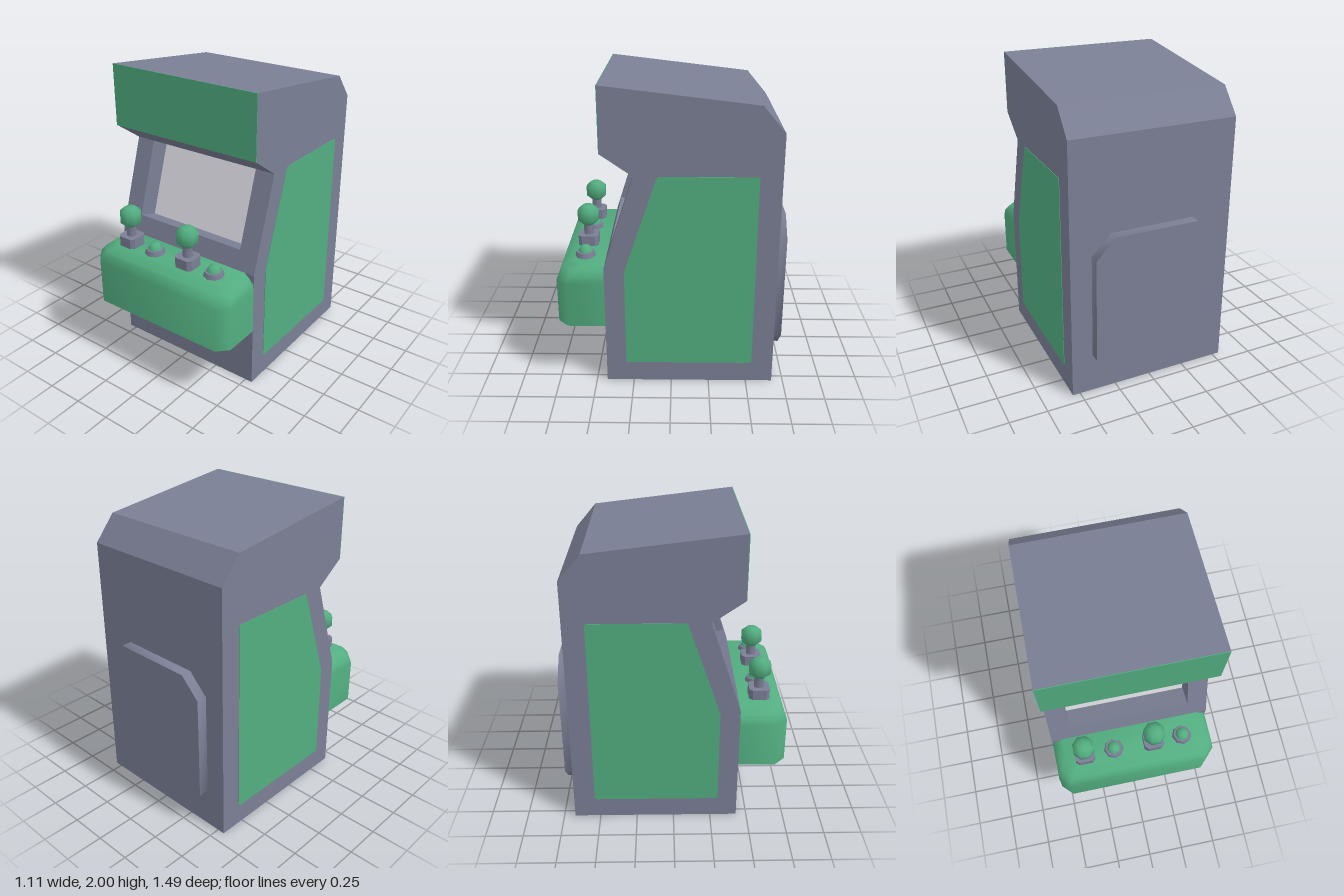
import * as THREE from 'three';
import { toCreasedNormals } from 'three/addons/utils/BufferGeometryUtils.js';

const mat = (name, color) => Object.assign(new THREE.MeshStandardMaterial({ color }), { name });

export function createModel() {
  const model = new THREE.Group();
  model.name = 'arcadeCabinet';
  const grey = mat('slateGrey', 0x7b7f95);
  const green = mat('green', 0x52ae80);
  const pale = mat('screenGrey', 0xdadae2);

  const add = (name, geometry, material, x = 0, y = 0, z = 0, parent = model) => {
    const mesh = new THREE.Mesh(geometry, material);
    mesh.name = name;
    mesh.position.set(x, y, z);
    parent.add(mesh);
    return mesh;
  };
  const polygon = pts => new THREE.Shape(pts.map(p => new THREE.Vector2(...p)));
  // Polygon with small rounded corners
  const rounded = (pts, r) => {
    const shape = new THREE.Shape();
    const v = pts.map(p => new THREE.Vector2(...p));
    v.forEach((p, i) => {
      const toward = q => q.clone().sub(p).setLength(r).add(p);
      const a = toward(v[(i + v.length - 1) % v.length]);
      const b = toward(v[(i + 1) % v.length]);
      if (i) shape.lineTo(a.x, a.y); else shape.moveTo(a.x, a.y);
      shape.quadraticCurveTo(p.x, p.y, b.x, b.y);
    });
    shape.closePath();
    return shape;
  };
  const extrude = (shape, depth) =>
    new THREE.ExtrudeGeometry(shape, { depth, bevelEnabled: false, curveSegments: 3 });
  // Extrude a (z, y) profile across x, centred on x = 0
  const across = (shape, width) =>
    extrude(shape, width).rotateY(-Math.PI / 2).translate(width / 2, 0, 0);

  // Cabinet: two side walls and a core with the screen recess
  const HALF = 0.55, OPEN = 0.415;
  const slantLow = [0.43, 0.83], slantTop = [0.23, 1.45], sill = [0.39, 0.955];
  const inward = ([z, y], d) => [z - 0.952 * d, y - 0.307 * d];
  const backLow = inward(sill, 0.145), backTop = inward(slantTop, 0.145);
  const profile = slant => polygon([
    [-0.675, 0], [0.43, 0], slantLow, ...slant,
    [0.43, 1.59], [0.43, 2], [-0.535, 1.885], [-0.675, 1.72]
  ]);
  add('cabinetCore', across(profile([sill, backLow, backTop, slantTop]), 2 * OPEN), grey);
  for (const [side, s] of [['left', 1], ['right', -1]]) {
    add(side + 'CabinetWall', across(profile([slantTop]), HALF - OPEN), grey, s * (HALF + OPEN) / 2);
    add(side + 'SidePanel', across(rounded([
      [0.3, 0.14], [0.3, 0.81], [0.085, 1.45], [-0.535, 1.45], [-0.535, 0.14]
    ].reverse(), 0.018), 0.004), green, s * (HALF + 0.001));
  }

  // Screen plate on the back of the recess, and the marquee
  add('screen', across(polygon([
    backLow, inward(sill, 0.14), inward(slantTop, 0.14), backTop
  ]), 2 * OPEN - 0.002), pale);
  add('marquee', new THREE.BoxGeometry(2 * HALF, 0.41, 0.004), green, 0, 1.795, 0.431);

  // Control panel: outline rings stacked upward with softened edges
  const layers = [ // y, side inset, front inset
    [0.415, 0, 0], [0.72, 0, 0], [0.765, 0.005, 0.017], [0.8, 0.035, 0.036], [0.83, 0.07, 0.11]
  ];
  const pos = [], idx = [], N = 6;
  for (const [y, side, front] of layers) {
    const w = HALF - side, f = 0.745 - front, c = 0.07;
    for (const [x, z] of [[w, 0.43], [w, f - c], [w - c, f], [c - w, f], [-w, f - c], [-w, 0.43]])
      pos.push(x, y, z);
  }
  for (let i = 0; i < layers.length - 1; i++) {
    for (let j = 0; j < N; j++) {
      const a = i * N + j, b = i * N + (j + 1) % N;
      idx.push(b, a, a + N, b, a + N, b + N);
    }
  }
  const top = (layers.length - 1) * N;
  for (let j = 1; j < N - 1; j++) idx.push(0, j, j + 1, top, top + j + 1, top + j);
  const panel = new THREE.BufferGeometry();
  panel.setAttribute('position', new THREE.Float32BufferAttribute(pos, 3));
  panel.setIndex(idx);
  add('controlPanel', toCreasedNormals(panel, 1.05), green);

  // Chamfered rectangle
  const chamfered = (w, h, c) => polygon([
    [-w + c, -h], [w - c, -h], [w, -h + c], [w, h - c],
    [w - c, h], [-w + c, h], [-w, h - c], [-w, -h + c]
  ]);

  // Joysticks
  const ballProfile = [[0, -0.068], [0.036, -0.068], [0.074, -0.034], [0.074, 0.034], [0.036, 0.068], [0, 0.068]]
    .map(p => new THREE.Vector2(...p));
  for (const x of [-0.345, 0.135]) {
    const stick = new THREE.Group();
    stick.name = 'joystick';
    stick.position.set(x, 0.83, 0.567);
    model.add(stick);
    add('joystickBase', extrude(chamfered(0.067, 0.067, 0.022), 0.07).rotateX(-Math.PI / 2), grey, 0, 0, 0, stick);
    add('joystickStem', toCreasedNormals(new THREE.CylinderGeometry(0.034, 0.034, 0.09, 8).rotateY(Math.PI / 8), 1),
      grey, 0, 0.11, 0, stick);
    add('joystickBall', new THREE.LatheGeometry(ballProfile, 8).rotateY(Math.PI / 8), green, 0, 0.207, 0, stick);
  }

  // Push buttons
  for (const x of [-0.14, 0.342]) {
    const button = new THREE.Group();
    button.name = 'pushButton';
    button.position.set(x, 0.83, 0.567);
    model.add(button);
    add('buttonCollar', new THREE.CylinderGeometry(0.06, 0.068, 0.032, 8), grey, 0, 0.016, 0, button);
    const dome = [[0.046, 0], [0.042, 0.014], [0.026, 0.038], [0, 0.04]].map(p => new THREE.Vector2(...p));
    add('buttonCap', new THREE.LatheGeometry(dome, 8), green, 0, 0.032, 0, button);
  }

  // Coin slot
  const rect = (w, h) => [[-w, -h], [w, -h], [w, h], [-w, h]];
  const coin = polygon(rect(0.052, 0.086));
  coin.holes.push(new THREE.Path(rect(0.02, 0.054).reverse().map(p => new THREE.Vector2(...p))));
  add('coinSlot', extrude(coin, 0.037), grey, 0, 0.226, 0.43);

  // Rear service hatch
  add('rearHatch', toCreasedNormals(extrude(chamfered(0.41, 0.4825, 0.13), 0.07), 1.05), grey, 0, 0.6225, -0.745);

  return model;
}
